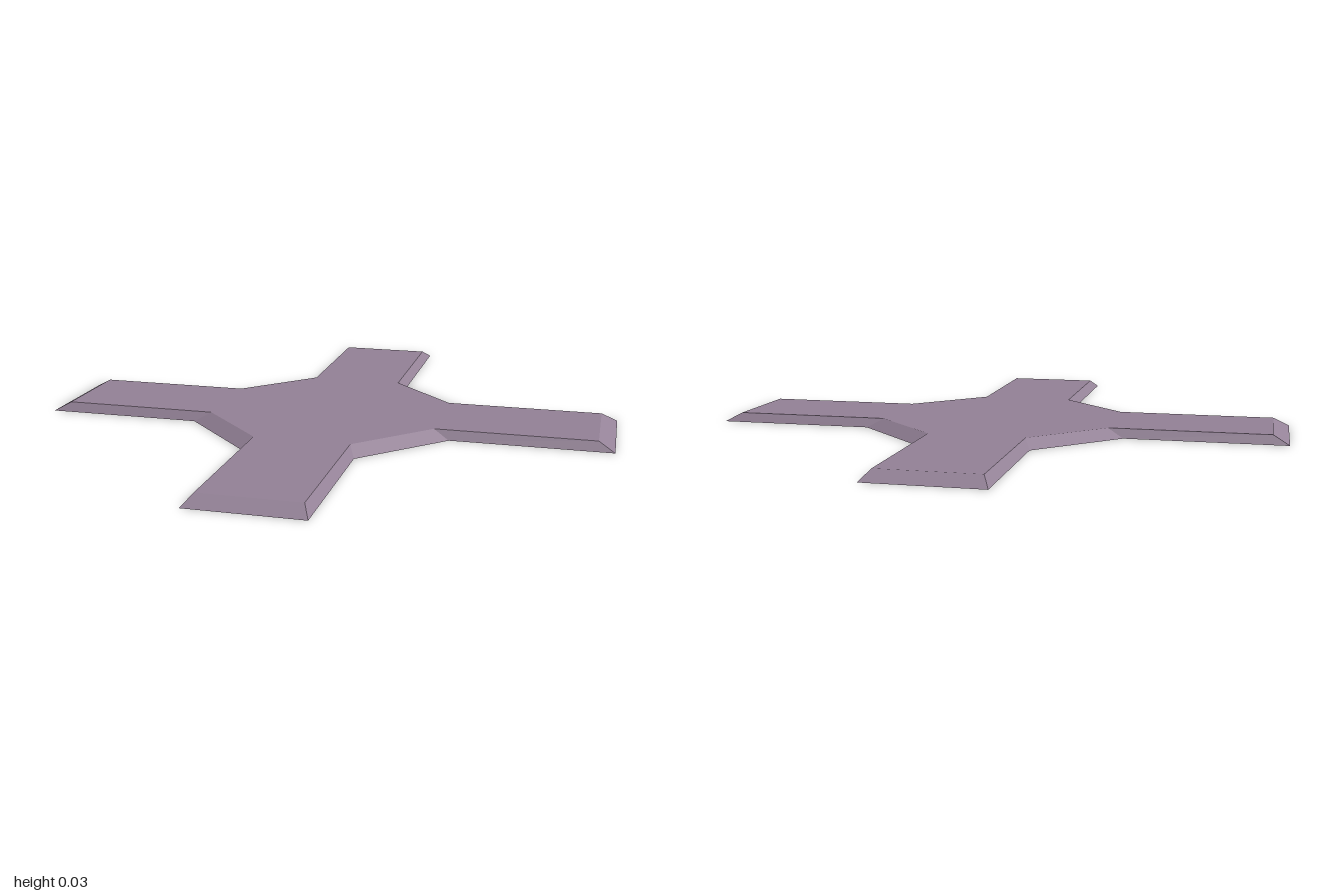
import * as THREE from 'three';

const H = 0.03;                         // plate thickness
const topHalf = 0.165, baseHalf = 0.19; // arm half widths
const topRoot = 0.40, baseRoot = 0.455; // where the arms meet the hub
const topEnd = 0.945, baseEnd = 1;      // arm tips

// Flat-shaded geometry from convex faces, corners counter-clockwise from outside
function facesGeometry(faces) {
  const pos = [];
  for (const f of faces)
    for (let i = 1; i < f.length - 1; i++) pos.push(...f[0], ...f[i], ...f[i + 1]);
  const g = new THREE.BufferGeometry();
  g.setAttribute('position', new THREE.Float32BufferAttribute(pos, 3));
  g.computeVertexNormals();
  return g;
}

export function createModel() {
  const group = new THREE.Group();
  group.name = 'crossPlate';
  const mauve = new THREE.MeshStandardMaterial({ color: 0x948297, side: THREE.DoubleSide });
  mauve.name = 'mauve';

  const add = (geometry, name, turn = 0) => {
    const mesh = new THREE.Mesh(geometry, mauve);
    mesh.name = name;
    mesh.rotation.y = turn;
    group.add(mesh);
  };

  // Arm pointing to +z: corners at root and tip, on the top and the base
  const tl = [-topHalf, H, topRoot], tr = [topHalf, H, topRoot];
  const tle = [-topHalf, H, topEnd], tre = [topHalf, H, topEnd];
  const bl = [-baseHalf, 0, baseRoot], br = [baseHalf, 0, baseRoot];
  const ble = [-baseHalf, 0, baseEnd], bre = [baseHalf, 0, baseEnd];
  const arm = facesGeometry([
    [tl, tle, tre, tr],  // top
    [ble, bre, tre, tle], // sloped tip
    [br, tr, tre, bre],  // left side
    [bl, ble, tle, tl],  // right side
    [bl, br, bre, ble],  // underside
  ]);

  // Sloped diagonal edge of the hub, between the +z and +x arms
  const bevel = facesGeometry([
    [br, [baseRoot, 0, baseHalf], [topRoot, H, topHalf], tr],
  ]);

  // Octagonal hub top, open underneath
  const octagon = [];
  for (let i = 0; i < 4; i++) {
    const c = Math.cos(i * Math.PI / 2), s = Math.sin(i * Math.PI / 2);
    for (const x of [-topHalf, topHalf])
      octagon.push([x * c + topRoot * s, H, topRoot * c - x * s]);
  }
  add(facesGeometry([octagon]), 'hubTop');

  ['front', 'left', 'back', 'right'].forEach((side, i) => {
    add(arm, side + 'Arm', i * Math.PI / 2);
    add(bevel, side + 'HubBevel', i * Math.PI / 2);
  });
  return group;
}
